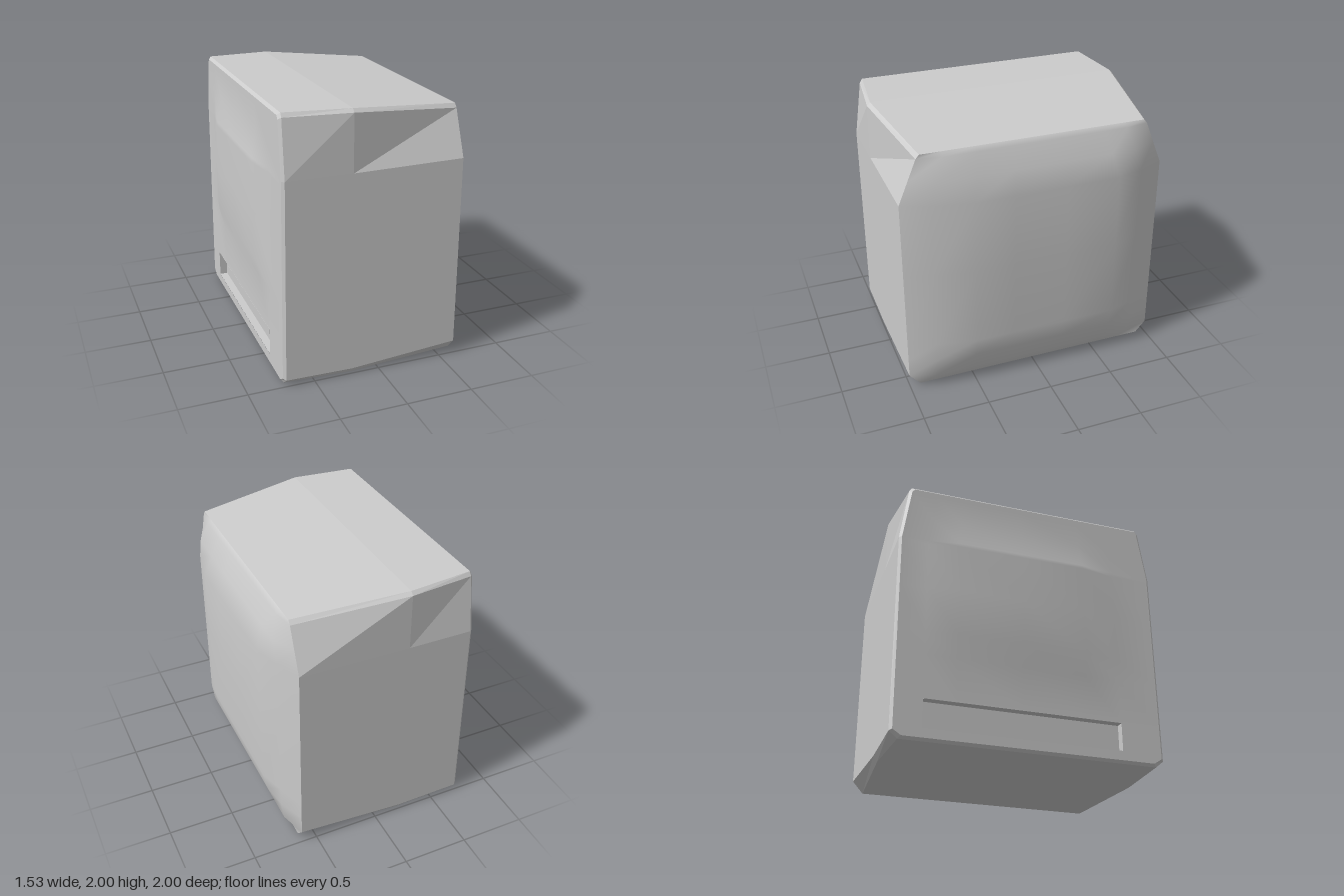
import * as THREE from 'three';

const lerpTable = (table, t) => {
  for (let i = 1; i < table.length; i++) {
    const [a, va] = table[i - 1], [b, vb] = table[i];
    if (t <= b) return va + (vb - va) * Math.max(0, (t - a) / (b - a));
  }
  return table[table.length - 1][1];
};

// Skin a grid of points (rows of equal length); skip(r, c) leaves a cell open
function skin(rows, flip = false, skip = () => false) {
  const n = rows[0].length, index = [];
  for (let r = 0; r < rows.length - 1; r++) {
    for (let c = 0; c < n - 1; c++) {
      if (skip(r, c)) continue;
      const a = r * n + c, b = a + 1, d = a + n, e = d + 1;
      if (flip) index.push(a, d, b, b, d, e);
      else index.push(a, b, d, b, e, d);
    }
  }
  const geo = new THREE.BufferGeometry();
  geo.setAttribute('position', new THREE.Float32BufferAttribute(rows.flat(2), 3));
  geo.setIndex(index);
  geo.computeVertexNormals();
  return geo;
}

export function createModel() {
  const group = new THREE.Group();
  const add = (name, geo, options = {}) => {
    const mesh = new THREE.Mesh(geo, new THREE.MeshStandardMaterial({ color: 0xcccccc, ...options }));
    mesh.name = name;
    group.add(mesh);
  };

  const capX = y => -0.735 + 0.01 * y;
  // Half sections [z, y] from the top edge down to the bottom edge
  const rim = [[0.9, 1.98], [0.92, 1.955], [0.98, 1.55], [0.98, 0.06], [0.92, 0.02]];
  const sections = [
    { x: capX, half: rim },
    { x: y => capX(y) + 0.02, half: [[0.92, 2], [0.94, 1.97], [1, 1.55], [1, 0.05], [0.94, 0]] },
    { x: () => -0.21, half: [[0.97, 1.995], [0.995, 1.97], [1, 1.55], [1, 0.04], [0.97, 0]] },
    { x: () => 0.62, half: [[0.84, 1.92], [0.865, 1.89], [1, 1.56], [1, 0.1], [0.92, 0.01]] },
  ];

  // Body shell with a soft ridge round its widest section
  const rings = sections.map(({ x, half }) => {
    const loop = [...half, ...half.map(([z, y]) => [-z, y]).reverse(), half[0]];
    return loop.map(([z, y]) => [x(y), y, z]);
  });
  add('bodyShell', skin(rings), { flatShading: true });

  const widthTable = half => half.map(([z, y]) => [y, z]).reverse();

  // Domed end on +x, falling away towards its edges
  const domeY = [[0.01, 0], [0.1, 0.43], [0.25, 0.79], [0.4, 1], [1, 1], [1.56, 1], [1.73, 0.6], [1.89, 0.2], [1.92, 0]];
  const domeZ = [[-1, 0], [-0.8, 0.57], [-0.6, 1], [-0.2, 1], [0.2, 1], [0.5, 1], [0.8, 0.57], [1, 0]];
  const domeWidth = widthTable(sections[3].half);
  add('domedEnd', skin(domeY.map(([y, g]) => domeZ.map(([u, h]) =>
    [0.62 + 0.14 * Math.min(g, h), y, u * lerpTable(domeWidth, y)])), true));

  // Slightly bulged panel on -x, with an opening for the slot
  const slot = { y0: 0.09, y1: 0.3, z0: -0.78, z1: 0.68, depth: 0.06 };
  const panelY = [0.02, 0.06, slot.y0, slot.y1, 0.63, 0.8, 1.15, 1.52, 1.55, 1.75, 1.955, 1.98];
  const panelZ = [-0.98, slot.z0, -0.55, -0.06, 0.42, slot.z1, 0.98];
  const bulgeY = [[0.63, 0], [0.8, 1], [1.52, 1], [1.75, 0]];
  const bulgeZ = [[-0.78, 0], [-0.55, 1], [0.42, 1], [0.68, 0]];
  const panelWidth = widthTable(rim);
  add('bulgedPanel', skin(
    panelY.map(y => panelZ.map(z => [
      capX(y) - 0.042 * Math.min(lerpTable(bulgeY, y), lerpTable(bulgeZ, z)),
      y, z / 0.98 * lerpTable(panelWidth, y)])),
    false, (r, c) => r === 2 && c >= 1 && c <= 4));

  // Recessed slot: a box with its outer face left open
  const recess = new THREE.BoxGeometry(slot.depth, slot.y1 - slot.y0, slot.z1 - slot.z0);
  const faces = Array.from(recess.index.array);
  recess.setIndex([...faces.slice(0, 6), ...faces.slice(12)]);
  recess.clearGroups();
  recess.translate(capX(0.2) + slot.depth / 2, (slot.y0 + slot.y1) / 2, (slot.z0 + slot.z1) / 2);
  add('slotRecess', recess, { side: THREE.DoubleSide });

  return group;
}
